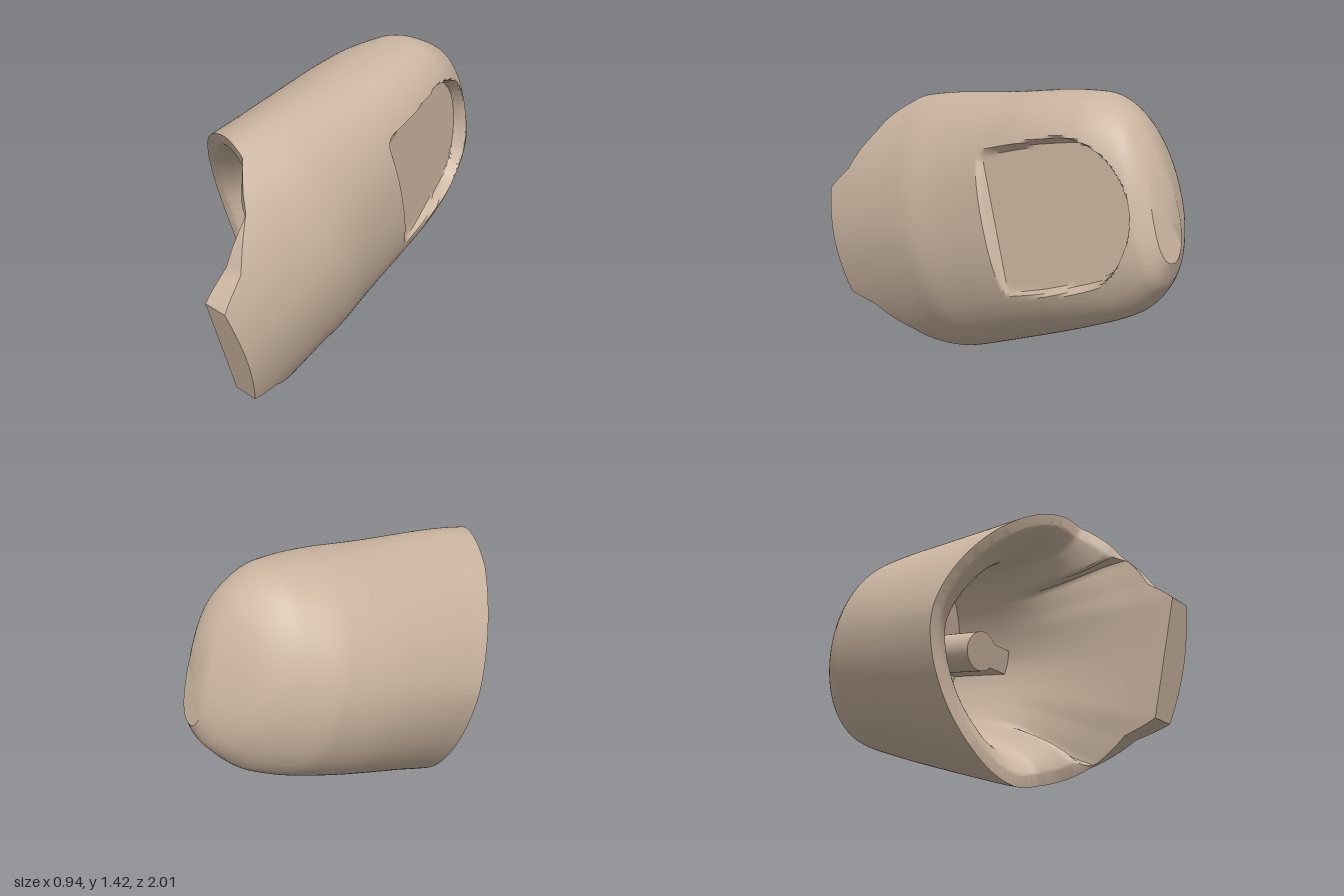
import * as THREE from 'three';
import { toCreasedNormals } from 'three/addons/utils/BufferGeometryUtils.js';

const TILT = Math.PI / 12, CX = 0.05, CV = 0.74;
const BACK = -1.16, FLOOR = -0.54, COLS = 180;
const { lerp, smoothstep, clamp } = THREE.MathUtils;

// Interpolates a short list of [position, value] pairs, straight or smooth
function along(pts, t, smooth = true) {
  const n = pts.length - 1;
  if (t <= pts[0][0]) return pts[0][1];
  if (t >= pts[n][0]) return pts[n][1];
  let i = 0;
  while (t > pts[i + 1][0]) i++;
  const [x0, y0] = pts[i], [x1, y1] = pts[i + 1], h = x1 - x0, s = (t - x0) / h;
  if (!smooth) return lerp(y0, y1, s);
  const secant = k => (pts[k + 1][1] - pts[k][1]) / (pts[k + 1][0] - pts[k][0]);
  const slope = k => {
    if (k === 0) return secant(0);
    if (k === n) return secant(n - 1);
    const a = secant(k - 1), b = secant(k);
    return a * b <= 0 ? 0 : 2 * a * b / (a + b);
  };
  const s2 = s * s, s3 = s2 * s;
  return (2 * s3 - 3 * s2 + 1) * y0 + (s3 - 2 * s2 + s) * h * slope(i)
    + (3 * s2 - 2 * s3) * y1 + (s3 - s2) * h * slope(i + 1);
}

// Limits of the body section along its axis
const TOP = [[-1.16, 0.84], [-1.14, 0.95], [-1.07, 1.1], [-0.9, 1.225], [-0.35, 1.314], [0.23, 1.396], [0.77, 1.42]];
const BOTTOM = [[-1.16, 0.46], [-1.08, 0.353], [-0.89, 0.235], [-0.67, 0.19], [-0.03, 0.097], [0.24, 0.065], [0.77, 0.04]];
const LEFT = [[-1.16, 0], [-1.02, -0.22], [-0.87, -0.335], [-0.716, -0.41], [-0.4, -0.46], [0.05, -0.472]];
const RIGHT = [[-1.16, 0.18], [-1.1, 0.255], [-0.87, 0.345], [-0.7, 0.378], [-0.35, 0.408], [-0.1, 0.435], [0.15, 0.468], [0.77, 0.46]];
const RIGHT_POWER = [[-0.6, 2.6], [-0.1, 2.1], [0.25, 1.85]];
const LEFT_POWER = [[-0.7, 1.95], [0, 1.72]];
// Where the front cut meets the body, by sideways position
const CUT = [[-0.47, 0.045], [-0.4, 0.08], [-0.2, 0.17], [0, 0.23], [0.15, 0.28], [0.25, 0.4], [0.295, 0.445], [0.39, 0.62], [0.42, 0.77]];

function superPoint(a, cx, cv, left, right, bottom, top, n) {
  const c = Math.cos(a), s = Math.sin(a);
  return [
    cx + Math.pow(Math.abs(c), 2 / n) * (c > 0 ? right - cx : left - cx),
    cv + Math.pow(Math.abs(s), 2 / n) * (s > 0 ? top - cv : bottom - cv)
  ];
}

function section(a, w) {
  const n = along(Math.cos(a) > 0 ? RIGHT_POWER : LEFT_POWER, w);
  const cx = lerp(0.09, CX, smoothstep(w, BACK, -0.9)), cv = lerp(0.65, CV, smoothstep(w, BACK, -0.9));
  return superPoint(a, cx, cv, along(LEFT, w), along(RIGHT, w), along(BOTTOM, w), along(TOP, w), n);
}

// Signed distance to the D-shaped side recess
function recessDistance(v, w) {
  const dv = v - 0.73;
  if (w < -0.78) return (Math.hypot((w + 0.78) / 0.32, dv / 0.34) - 1) * 0.32;
  const r = 0.05, qx = w + 0.37 + r, qy = Math.abs(dv) - 0.34 + r;
  return Math.hypot(Math.max(qx, 0), Math.max(qy, 0)) + Math.min(Math.max(qx, qy), 0) - r;
}

function outerPoint(a, w) {
  let [x, v] = section(a, w);
  if (Math.cos(a) > 0) {
    const floor = lerp(0.19, 0.355, (w + 1.1) / 0.73);
    const inside = clamp(-recessDistance(v, w) / 0.02, 0, 1);
    x = lerp(x, Math.min(x, floor), inside);
  }
  return [x, v, w];
}

// Joins rings of points (rows) running round the axis
function rings(rows, point) {
  const pos = [], index = [];
  for (let i = 0; i <= rows; i++)
    for (let j = 0; j < COLS; j++) pos.push(...point(i, j / COLS * Math.PI * 2));
  for (let i = 0; i < rows; i++)
    for (let j = 0; j < COLS; j++) {
      const k = (j + 1) % COLS;
      const a = i * COLS + j, b = i * COLS + k, c = a + COLS, d = b + COLS;
      index.push(a, b, c, b, d, c);
    }
  const g = new THREE.BufferGeometry();
  g.setAttribute('position', new THREE.Float32BufferAttribute(pos, 3));
  g.setIndex(index);
  return toCreasedNormals(g, 0.6);
}

const cutAt = a => along(CUT, section(a, 0.4)[0], false);

// Outer skin: closed back, fine rows past the recess, then out to the cut
function outerShell() {
  const fine = 110, coarse = 20;
  return rings(1 + fine + coarse, (i, a) => {
    if (i === 0) return [0.09, 0.65, BACK];
    i--;
    if (i <= fine) return outerPoint(a, lerp(BACK, -0.25, i / fine));
    return outerPoint(a, lerp(-0.25, cutAt(a), (i - fine) / coarse));
  });
}

// Rolled rim and funnel down to a flat floor; the side flange keeps a square edge
const ROLL = [[0, 0], [0.15, 0.12], [0.3, 0.32], [0.5, 0.6], [0.75, 0.88], [1, 1]];
function cavity() {
  const rows = 22;
  return rings(rows + 2, (i, a) => {
    const w0 = cutAt(a), o = section(a, w0);
    const f = superPoint(a, 0.04, CV, -0.25, 0.27, 0.29, 1.17, 1.6);
    if (i === 0) return [...o, w0];
    if (i === rows + 2) return [0.04, CV, FLOOR];
    if (i === rows + 1) return [...f, FLOOR];
    const flange = smoothstep(o[0], 0.26, 0.32);
    const lip = [
      lerp(lerp(o[0], f[0], 0.22), Math.min(o[0], 0.3), flange),
      lerp(lerp(o[1], f[1], 0.22), o[1], flange)
    ];
    const t = (i - 1) / (rows - 1), s = along(ROLL, t);
    const drop = lerp(t * t, t, flange);
    return [lerp(lip[0], f[0], s), lerp(lip[1], f[1], s), lerp(w0, -0.22, drop)];
  });
}

export function createModel() {
  const model = new THREE.Group();
  model.name = 'housing';
  const body = new THREE.Group();
  body.name = 'tiltedBody';
  body.rotation.x = TILT;
  model.add(body);

  const material = new THREE.MeshStandardMaterial({ color: 0xcbb5a0 });
  const add = (geometry, name, x = 0, v = 0, w = 0) => {
    const mesh = new THREE.Mesh(geometry, material);
    mesh.name = name;
    mesh.position.set(x, v, w);
    body.add(mesh);
  };

  add(outerShell(), 'outerShell');
  add(cavity(), 'rimAndCavity');

  // Post on the cavity floor, with a rib to the side wall
  const length = 0.37, mid = FLOOR + length / 2;
  add(new THREE.CylinderGeometry(0.1, 0.1, length, 32).rotateX(Math.PI / 2), 'post', 0.075, 0.741, mid);
  add(new THREE.BoxGeometry(0.2, 0.125, length - 0.002), 'postRib', 0.175, 0.741, mid);
  return model;
}
